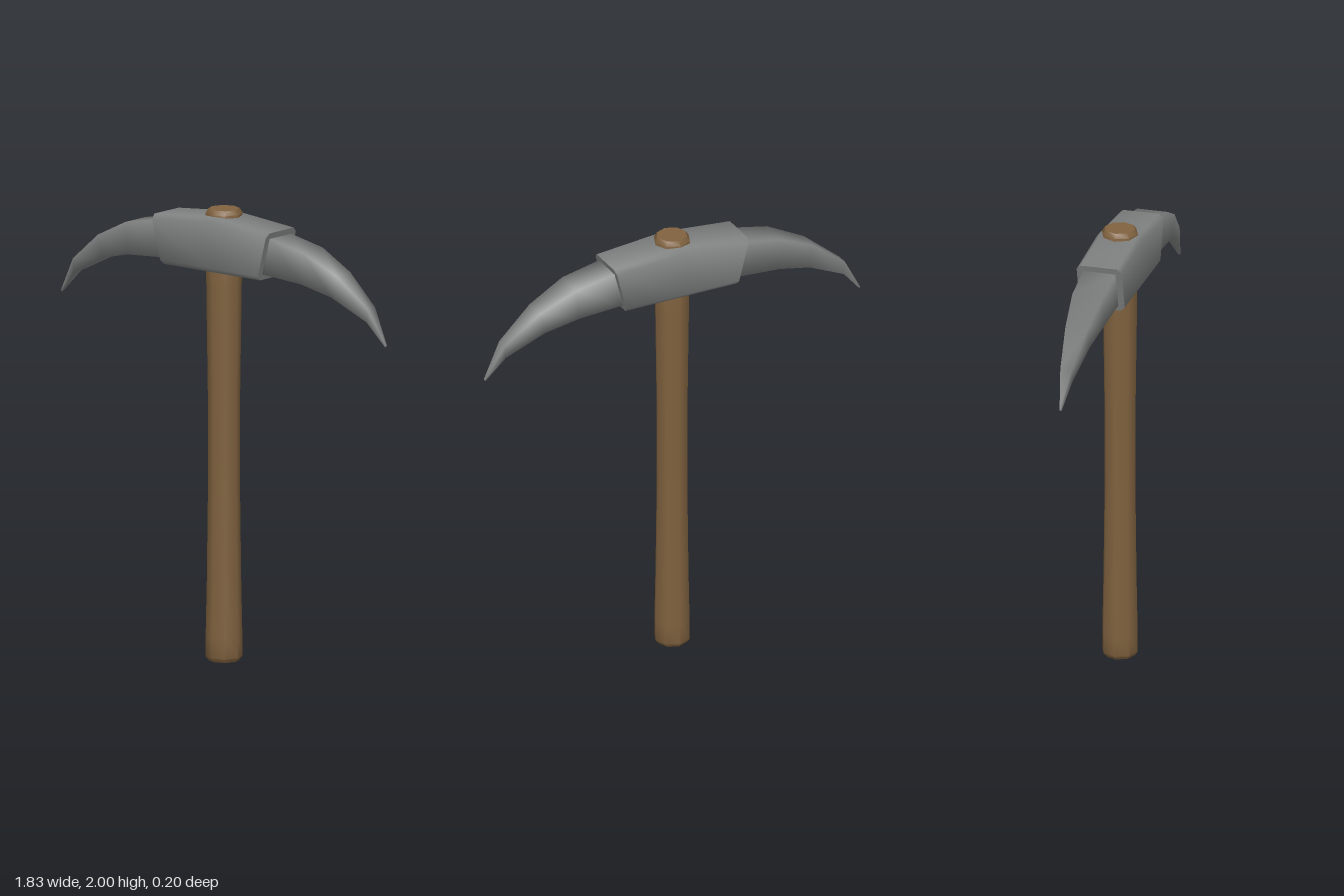
import * as THREE from 'three';
import { toCreasedNormals } from 'three/addons/utils/BufferGeometryUtils.js';

// Skin a row of equal-length rings of [x, y, z] points, ordered along +x, and cap both ends
function loft(rings, crease) {
  const n = rings[0].length;
  const index = [];
  for (let i = 0; i < rings.length - 1; i++) {
    for (let j = 0; j < n; j++) {
      const k = (j + 1) % n;
      const a = i * n + j, b = i * n + k, c = b + n, d = a + n;
      index.push(a, b, c, a, c, d);
    }
  }
  const last = (rings.length - 1) * n;
  for (let j = 1; j < n - 1; j++) {
    index.push(0, j + 1, j);
    index.push(last, last + j, last + j + 1);
  }
  const geometry = new THREE.BufferGeometry();
  geometry.setAttribute('position', new THREE.Float32BufferAttribute(rings.flat(2), 3));
  geometry.setIndex(index);
  geometry.computeVertexNormals();
  return crease ? toCreasedNormals(geometry, crease) : geometry;
}

export function createModel() {
  const wood = new THREE.MeshStandardMaterial({ color: 0x80623f });
  wood.name = 'wood';
  const metal = new THREE.MeshStandardMaterial({ color: 0x808282 });
  metal.name = 'metal';

  const model = new THREE.Group();
  model.name = 'pickaxe';
  const add = (name, geometry, material) => {
    const mesh = new THREE.Mesh(geometry, material);
    mesh.name = name;
    model.add(mesh);
    return mesh;
  };

  // Eight-sided handle, swelling slightly at both ends
  const profile = [
    [0, 0], [0.066, 0], [0.08, 0.018], [0.08, 0.11], [0.075, 0.35], [0.07, 0.75],
    [0.07, 1.15], [0.077, 1.65], [0.081, 1.98], [0.068, 2], [0, 2],
  ].map(([r, y]) => new THREE.Vector2(r, y));
  add('handle', toCreasedNormals(new THREE.LatheGeometry(profile, 8), 0.9), wood);

  // Head block: chamfered section, peaked in the middle, narrower underneath
  const bottom = 1.73, halfDepth = 0.102, bevel = 0.02;
  const headRing = (side) => {
    const top = side === 0 ? 1.975 : 1.945;
    const half = [
      [top, halfDepth - bevel], [top - bevel, halfDepth],
      [bottom + bevel, halfDepth], [bottom, halfDepth - bevel],
    ];
    const outline = [...half, ...half.map(([y, z]) => [y, -z]).reverse()];
    return outline.map(([y, z]) => [side * (0.27 + 0.055 * (y - bottom) / (top - bottom)), y, z]);
  };
  add('headBlock', loft([-1, 0, 1].map(headRing), 0.9), metal);

  // Curved picks: upper x, upper y, lower x, lower y, half thickness
  const stations = [
    [0.24, 1.93, 0.22, 1.755, 0.075],
    [0.32, 1.918, 0.29, 1.755, 0.073],
    [0.50, 1.882, 0.49, 1.74, 0.069],
    [0.67, 1.80, 0.645, 1.70, 0.05],
    [0.83, 1.67, 0.825, 1.61, 0.026],
    [0.916, 1.515, 0.912, 1.508, 0.004],
  ];
  const pickGeometry = loft(stations.map(([ux, uy, lx, ly, w]) => [
    [ux, uy, -w], [ux, uy, w], [lx, ly, w], [lx, ly, -w],
  ]));
  add('leftPick', pickGeometry, metal);
  add('rightPick', pickGeometry, metal).rotation.y = Math.PI;

  return model;
}
